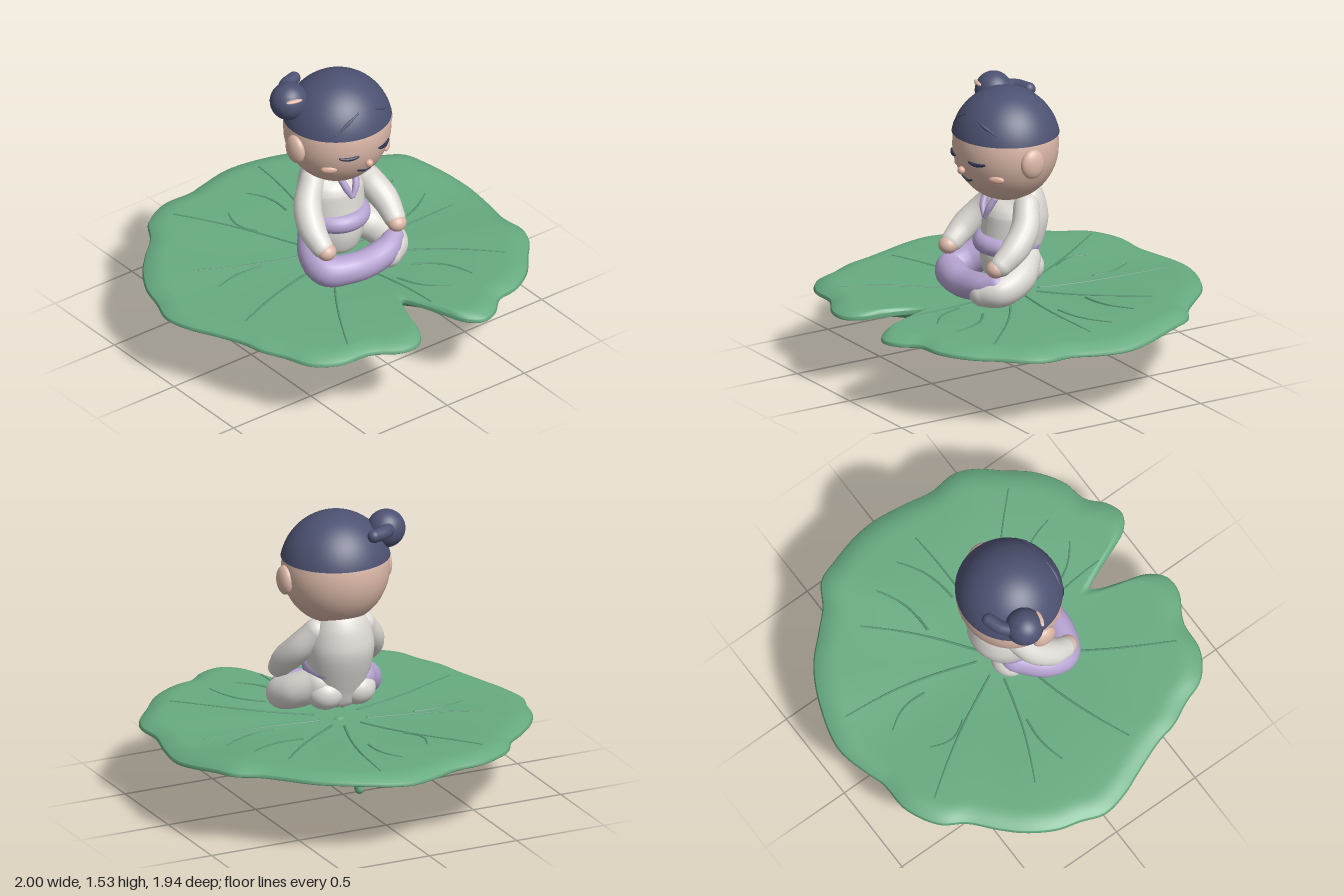
import * as THREE from 'three';
import { mergeGeometries } from 'three/addons/utils/BufferGeometryUtils.js';

const mat = (name, color, side = THREE.FrontSide) => {
  const m = new THREE.MeshStandardMaterial({ color, side });
  m.name = name;
  return m;
};
const V = (p) => new THREE.Vector3(...p);
const { smoothstep, lerp, euclideanModulo } = THREE.MathUtils;

export function createModel() {
  const leafGreen = mat('leaf green', 0x67ab81);
  const veinGreen = mat('vein green', 0x569672);
  const skin = mat('skin', 0xdbb8a8);
  const blush = mat('blush', 0xe0b29f);
  const hairBlue = mat('hair navy', 0x4d5272, THREE.DoubleSide);
  const lineNavy = mat('line navy', 0x2f3450);
  const cloth = mat('white cloth', 0xdddad5);
  const purple = mat('purple cloth', 0xb6a4d2);

  const model = new THREE.Group();
  const add = (name, geo, material, parent = model) => {
    const m = new THREE.Mesh(geo, material);
    m.name = name;
    parent.add(m);
    return m;
  };
  const ball = (name, material, pos, size, parent) => {
    const m = add(name, new THREE.SphereGeometry(1, 36, 24), material, parent);
    m.position.set(...pos);
    m.scale.set(...size);
    return m;
  };
  // Round limb along a curve, with radii spread evenly over its length
  const limb = (points, radii, seg = 32, sides = 20) => {
    const curve = new THREE.CatmullRomCurve3(points.map(V));
    const tube = new THREE.TubeGeometry(curve, seg, 1, sides);
    const pos = tube.attributes.position, v = new THREE.Vector3();
    for (let i = 0; i < pos.count; i++) {
      const t = Math.floor(i / (sides + 1)) / seg;
      const k = t * (radii.length - 1), a = Math.min(Math.floor(k), radii.length - 2);
      const r = lerp(radii[a], radii[a + 1], k - a);
      const c = curve.getPointAt(t);
      v.fromBufferAttribute(pos, i).sub(c).multiplyScalar(r).add(c);
      pos.setXYZ(i, v.x, v.y, v.z);
    }
    const cap = (p, r) => new THREE.SphereGeometry(r, sides, 12).translate(...p);
    return mergeGeometries([tube, cap(points[0], radii[0]), cap(points.at(-1), radii.at(-1))]);
  };

  // Lily leaf: notched wavy outline (x, z), nearly flat on top, thick and rounded underneath
  const outline = [
    [0.03, 0.59], [0.08, 0.68], [0.13, 0.80], [0.19, 0.92], [0.27, 0.97], [0.36, 0.94], [0.45, 0.86],
    [0.58, 0.83], [0.72, 0.74], [0.82, 0.62], [0.92, 0.50], [0.96, 0.40], [0.95, 0.25], [0.98, 0.10],
    [1, -0.08], [0.98, -0.22], [0.93, -0.38], [0.88, -0.5], [0.76, -0.58], [0.66, -0.68], [0.54, -0.8],
    [0.36, -0.9], [0.1, -0.97], [-0.1, -0.93], [-0.2, -0.9], [-0.38, -0.89], [-0.55, -0.8],
    [-0.63, -0.68], [-0.75, -0.57], [-0.85, -0.46], [-0.93, -0.32], [-0.96, -0.2], [-1, -0.07],
    [-0.97, 0.08], [-0.92, 0.2], [-0.85, 0.38], [-0.82, 0.5], [-0.76, 0.62], [-0.7, 0.76],
    [-0.57, 0.85], [-0.4, 0.87], [-0.25, 0.95], [-0.15, 0.95], [-0.08, 0.88], [-0.04, 0.75], [0, 0.63],
  ];
  // Rim lift every 30 degrees, from +x towards +z
  const lift = [-0.03, -0.005, 0, -0.005, 0, -0.005, -0.02, 0, 0.015, -0.005, 0.02, 0.022];
  const leafTop = (x, z) => {
    const r = Math.hypot(x, z), k = euclideanModulo(Math.atan2(z, x) * 6 / Math.PI, 12);
    const i = Math.floor(k) % 12;
    const wave = lerp(lift[i], lift[(i + 1) % 12], smoothstep(k - Math.floor(k), 0, 1));
    return 0.421 + 0.02 * smoothstep(r, 0.1, 0.8) + wave * r * r;
  };
  const N = 220, R = 30;
  const rim = new THREE.CatmullRomCurve3(outline.map(([x, z]) => V([x, 0, z])), true).getPoints(N).slice(0, N);
  const steps = Array.from({ length: R + 1 }, (_, i) => Math.sin((i / R) * Math.PI / 2) * 0.994);
  const rows = [...steps.map((s) => [s, 0]), [1, 0.5], ...steps.reverse().map((s) => [s, 1])];
  const verts = [], faces = [];
  rows.forEach(([s, under], i) => rim.forEach((p, j) => {
    const x = p.x * s, z = p.z * s, r = Math.hypot(x, z);
    const curl = Math.max(0, (s - 0.88) / 0.12) ** 2 * 0.038 * r * r;
    const depth = 0.02 + 0.106 * (1 - smoothstep(r, 0.2, 1.05)) * (1 - s ** 10);
    verts.push(x, leafTop(x, z) - curl - under * depth, z);
    if (i < rows.length - 1) {
      const a = i * N + j, d = i * N + (j + 1) % N;
      faces.push(a, a + N, d + N, a, d + N, d);
    }
  }));
  const leaf = new THREE.BufferGeometry();
  leaf.setAttribute('position', new THREE.Float32BufferAttribute(verts, 3));
  leaf.setIndex(faces);
  leaf.computeVertexNormals();
  add('lilyLeaf', leaf, leafGreen);

  // Leaf veins: start x, z, end x, z, sideways bend
  const veins = [
    [-0.05, -0.11, -0.43, -0.74, 0.02], [0.05, -0.12, 0.2, -0.84, 0.03], [0.1, -0.08, 0.55, -0.49, 0.02],
    [0.13, 0.01, 0.78, 0.03, 0.02], [0.12, 0.1, 0.71, 0.57, -0.03], [0.03, 0.14, 0.12, 0.71, -0.02],
    [-0.06, 0.13, -0.47, 0.77, 0.02], [-0.12, 0.07, -0.74, 0.27, 0.02], [-0.11, -0.06, -0.66, -0.27, -0.02],
    [-0.17, -0.37, -0.19, -0.59, -0.04], [0.07, -0.44, 0, -0.69, 0.03], [0.34, -0.22, 0.66, -0.31, 0.03],
    [0.41, -0.01, 0.73, -0.13, 0.03], [0.27, 0.36, 0.45, 0.63, -0.04], [0.13, 0.42, 0.29, 0.65, 0.03],
    [-0.36, -0.1, -0.64, -0.08, 0.02],
  ];
  veins.forEach(([x0, z0, x1, z1, bend]) => {
    const len = Math.hypot(x1 - x0, z1 - z0), pts = [];
    for (let i = 0; i <= 8; i++) {
      const t = i / 8, b = bend * Math.sin(Math.PI * t) / len;
      const x = x0 + (x1 - x0) * t - (z1 - z0) * b, z = z0 + (z1 - z0) * t + (x1 - x0) * b;
      pts.push([x, leafTop(x, z), z]);
    }
    add('leafVein', limb(pts, [0.007, 0.006, 0.004], 24, 6), veinGreen);
  });

  // Stem with a neck and a flare under the leaf
  add('stem', limb([[-0.08, 0.025, -0.03], [-0.06, 0.11, -0.015], [-0.025, 0.22, 0.01], [0.01, 0.295, 0.022]],
    [0.025, 0.026, 0.029, 0.032, 0.036, 0.038, 0.022, 0.034], 42), leafGreen);
  ball('leafHub', leafGreen, [0.02, 0.421, 0], [0.03, 0.01, 0.025]);

  // Seated figure, slightly off centre
  const body = new THREE.Group();
  body.name = 'figure';
  body.position.x = 0.013;
  model.add(body);

  // Torso, leaning forward towards the waist, neckline dipping at the front
  const profile = new THREE.SplineCurve([[0.001, 0.48], [0.1, 0.5], [0.14, 0.58], [0.163, 0.68], [0.175, 0.8],
    [0.168, 0.88], [0.145, 0.96], [0.1, 1.02], [0.001, 1.04]].map((p) => new THREE.Vector2(...p)));
  const torso = new THREE.LatheGeometry(profile.getPoints(40), 40);
  const tp = torso.attributes.position;
  for (let i = 0; i < tp.count; i++) {
    const y = tp.getY(i), z = tp.getZ(i);
    tp.setY(i, y - 0.55 * Math.max(0, y - 0.85) * smoothstep(z, -0.08, 0.1));
    tp.setZ(i, z * 0.96 + 0.05 * smoothstep(0.85 - y, 0, 0.3));
  }
  torso.computeVertexNormals();
  add('robe', torso, cloth, body);
  const sash = add('sash', new THREE.TorusGeometry(0.128, 0.05, 20, 48).rotateX(Math.PI / 2), purple, body);
  sash.position.set(0, 0.7, 0.05);

  // Arms, hands, hips, collar and ears, mirrored
  for (const s of [-1, 1]) {
    add('sleeve', limb([[s * 0.13, 0.915, 0.015], [s * 0.2, 0.82, 0.07], [s * 0.237, 0.73, 0.16],
      [s * 0.235, 0.665, 0.235]], [0.068, 0.074, 0.074, 0.058]), cloth, body);
    ball('hand', skin, [s * 0.228, 0.648, 0.265], [0.051, 0.046, 0.05], body);
    ball('hip', cloth, [s * 0.09, 0.578, 0], [0.1, 0.09, 0.1], body);
    add('collar', limb([[s * 0.045, 0.955, 0.155], [s * 0.03, 0.91, 0.178], [s * 0.006, 0.858, 0.188]],
      [0.018, 0.019, 0.012], 16, 12), purple, body);
    ball('ear', skin, [s * 0.283, 1.2, 0.075], [0.037, 0.078, 0.067], body);
  }

  // Crossed legs: purple one across the front, white one tucked behind
  add('purpleLeg', limb([[-0.11, 0.62, 0.02], [-0.21, 0.56, 0.15], [-0.215, 0.523, 0.25], [-0.1, 0.518, 0.305],
    [0.03, 0.518, 0.31], [0.14, 0.538, 0.295], [0.215, 0.558, 0.255]],
    [0.09, 0.09, 0.087, 0.08, 0.078, 0.074, 0.056], 48), purple, body);
  add('whiteLeg', limb([[0.11, 0.625, 0.02], [0.205, 0.565, 0.12], [0.22, 0.52, 0.235], [0.15, 0.506, 0.292]],
    [0.09, 0.092, 0.087, 0.075], 40), cloth, body);

  // Head with capped hair
  ball('head', skin, [0, 1.233, 0.06], [0.283, 0.298, 0.272], body);
  const hair = add('hairCap', new THREE.SphereGeometry(1, 48, 24, 0, Math.PI * 2, 0, 1.36), hairBlue, body);
  hair.position.set(0, 1.235, 0.06);
  hair.scale.set(0.291, 0.298, 0.281);
  const onHead = (x, y, out = 0, k = 1) =>
    [x, y, 0.06 + out + 0.272 * k * Math.sqrt(1 - (x / (0.283 * k)) ** 2 - ((y - 1.235) / (0.295 * k)) ** 2)];
  const locks = [[[-0.03, 1.42], [-0.1, 1.385], [-0.17, 1.33]], [[0.07, 1.41], [0.12, 1.39], [0.19, 1.355]]];
  locks.forEach((l) => add('fringeLock',
    limb(l.map(([x, y]) => onHead(x, y, 0, 1.02)), [0.004, 0.01, 0.004], 20, 10), hairBlue, body));

  // Side bun with its pin and tie
  ball('bun', hairBlue, [-0.248, 1.43, -0.025], [0.1, 0.1, 0.097], body);
  const pin = ball('bunPin', skin, [-0.275, 1.475, 0.055], [0.045, 0.01, 0.015], body);
  pin.rotation.y = -0.25;
  add('bunTie', limb([[-0.24, 1.45, -0.08], [-0.185, 1.45, -0.13], [-0.115, 1.45, -0.155]],
    [0.034, 0.036, 0.034], 16), hairBlue, body);

  // Face: closed eyes, nose, smile, cheeks
  for (const s of [-1, 1]) {
    const eye = [-0.044, -0.025, 0, 0.025, 0.044].map((d) =>
      onHead(s * 0.113 + d, 1.188 + 3.5 * d * d, 0.004));
    add('closedEye', limb(eye, [0.006, 0.01, 0.01, 0.006], 20, 8), lineNavy, body);
    const cheek = ball('cheek', blush, onHead(s * 0.188, 1.115, 0.004), [0.042, 0.02, 0.014], body);
    cheek.rotation.y = s * 0.7;
  }
  ball('nose', blush, onHead(0, 1.132, 0.014), [0.021, 0.021, 0.02], body);
  const smile = [-0.046, -0.025, 0, 0.025, 0.046].map((d) => onHead(d, 1.073 + 7 * d * d, 0.002));
  add('mouth', limb(smile, [0.005, 0.007, 0.007, 0.005], 20, 8), lineNavy, body);

  return model;
}
